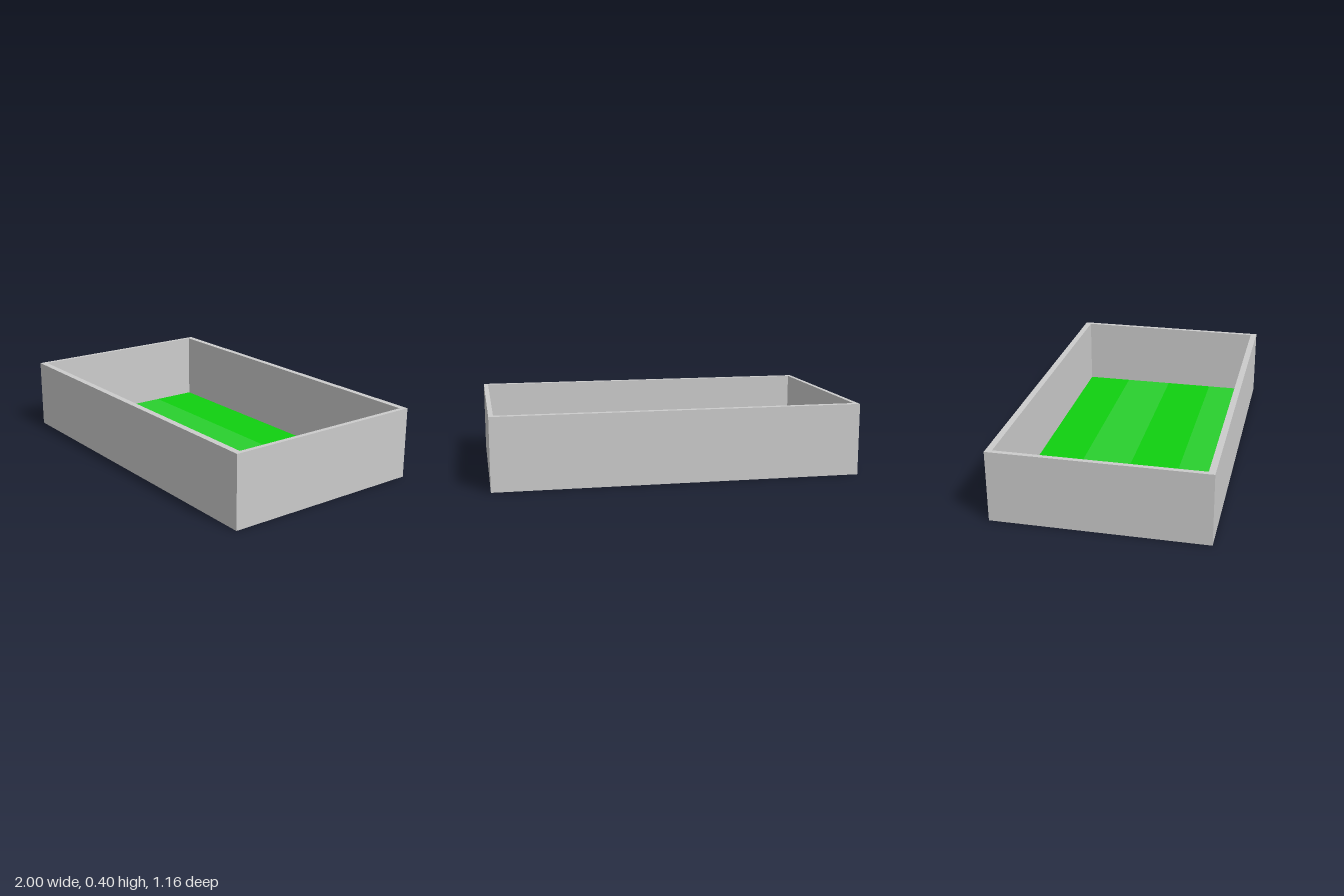
import * as THREE from 'three';

const W = 1, D = 0.58, H = 0.395;   // outer half width, half depth, height
const IW = 0.975, ID = 0.545;       // inner half width, half depth
const FLOOR = 0.004;                // floor thickness

// Rectangle outline, traced on a path or shape
function rect(path, w, d) {
  path.moveTo(-w, -d);
  path.lineTo(w, -d);
  path.lineTo(w, d);
  path.lineTo(-w, d);
  path.closePath();
  return path;
}

export function createModel() {
  const group = new THREE.Group();
  group.name = 'walledField';

  // Four walls as one open frame
  const frame = rect(new THREE.Shape(), W, D);
  frame.holes.push(rect(new THREE.Path(), IW, ID));
  const wallGeo = new THREE.ExtrudeGeometry(frame, { depth: H, bevelEnabled: false });
  wallGeo.rotateX(-Math.PI / 2);
  const walls = new THREE.Mesh(wallGeo, new THREE.MeshStandardMaterial({ color: 0xcccccc }));
  walls.name = 'walls';
  group.add(walls);

  // Striped grass floor, from back to front
  const grass = new THREE.Group();
  grass.name = 'grass';
  const dark = new THREE.MeshStandardMaterial({ color: 0x10d010 });
  const light = new THREE.MeshStandardMaterial({ color: 0x2ad02e });
  const edges = [-ID, -0.28, 0, 0.28, ID];
  for (let i = 0; i < 4; i++) {
    const depth = edges[i + 1] - edges[i];
    const stripe = new THREE.Mesh(new THREE.BoxGeometry(2 * IW, FLOOR, depth), i % 2 ? light : dark);
    stripe.position.set(0, FLOOR / 2, edges[i] + depth / 2);
    stripe.name = 'grassStripe' + (i + 1);
    grass.add(stripe);
  }
  group.add(grass);

  return group;
}
